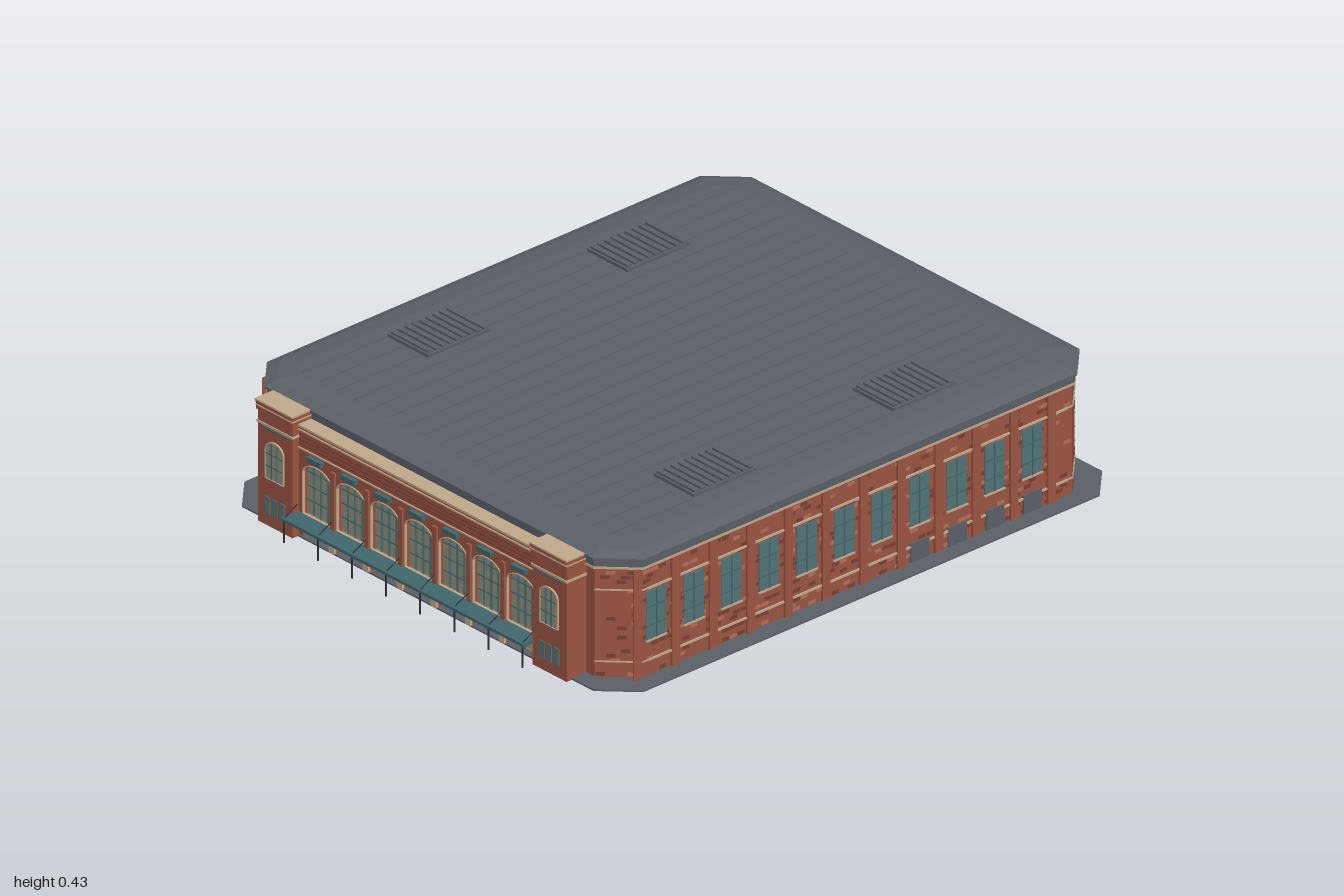
import * as THREE from 'three';
import { mergeGeometries } from 'three/addons/utils/BufferGeometryUtils.js';

const mat = (name, color, side = THREE.FrontSide) => {
  const m = new THREE.MeshStandardMaterial({ color, side });
  m.name = name;
  return m;
};

export function createModel() {
  const M = {
    brick: mat('red brick', 0x9c5443),
    darkBrick: mat('dark brick', 0x7a4035),
    lightBrick: mat('light brick', 0xb5705c),
    stone: mat('beige stone', 0xc0a98b),
    roof: mat('slate roof', 0x5b6068),
    teal: mat('teal metal', 0x3f676c),
    sideGlass: mat('side glass', 0x527478),
    frontGlass: mat('front glass', 0x8c907c),
    dark: mat('dark metal', 0x2c3136),
  };
  const root = new THREE.Group();
  root.name = 'brickHall';

  const add = (name, geo, m, parent = root) => {
    const mesh = new THREE.Mesh(geo, m);
    mesh.name = name;
    parent.add(mesh);
    return mesh;
  };
  // Box given by its limits on each axis
  const span = (x0, x1, y0, y1, z0, z1) =>
    new THREE.BoxGeometry(x1 - x0, y1 - y0, z1 - z0).translate((x0 + x1) / 2, (y0 + y1) / 2, (z0 + z1) / 2);
  const box = (name, m, l, parent = root) => add(name, span(...l), m, parent);

  // Stacked chamfered-rectangle rings [outset, y], closed at top and bottom
  const W = 0.78, ZF = 0.885, ZB = -0.945, CH = 0.095;
  const octagon = (o, w = W, f = ZF, b = ZB, c = CH) => {
    const x = w + o, zf = f + o, zb = b - o, k = c + o * 0.58;
    return [[x - k, zf], [x, zf - k], [x, zb + k], [x - k, zb], [-x + k, zb], [-x, zb + k], [-x, zf - k], [-x + k, zf]];
  };
  const loft = (rings, ...dims) => {
    const p = [];
    const loops = rings.map(([o, y]) => octagon(o, ...dims).map(([x, z]) => [x, y, z]));
    for (let r = 0; r + 1 < loops.length; r++) {
      for (let i = 0; i < 8; i++) {
        const j = (i + 1) % 8, [a, b, c, d] = [loops[r][i], loops[r][j], loops[r + 1][j], loops[r + 1][i]];
        p.push(...a, ...b, ...c, ...a, ...c, ...d);
      }
    }
    const bot = loops[0], top = loops[loops.length - 1];
    for (let i = 1; i < 7; i++) {
      p.push(...top[0], ...top[i], ...top[i + 1], ...bot[0], ...bot[i + 1], ...bot[i]);
    }
    const g = new THREE.BufferGeometry();
    g.setAttribute('position', new THREE.Float32BufferAttribute(p, 3));
    g.computeVertexNormals();
    return g;
  };

  // Pavement, walls and roof
  add('pavement', loft([[0, 0], [0, 0.005]], 0.84, 0.94, -1, 0.1), M.roof);
  add('walls', loft([[0, 0.005], [0, 0.37]]), M.brick);
  add('cornice', loft([[0.009, 0.355], [0.009, 0.362]]), M.stone);
  add('roof', loft([[0.007, 0.362], [0.007, 0.386], [0.014, 0.386], [0.014, 0.392], [-0.02, 0.405], [-0.08, 0.414]]), M.roof);
  const seams = [];
  for (let i = -9; i <= 9; i++) seams.push(span(i * 0.072 - 0.002, i * 0.072 + 0.002, 0.413, 0.416, -0.85, 0.79));
  add('roofSeams', mergeGeometries(seams), M.roof);

  // Louvred roof vents
  for (const x of [-0.56, 0.56]) for (const z of [-0.41, 0.35]) {
    const slats = [];
    for (let i = 0; i < 9; i++) {
      const s = z - 0.105 + i * 0.02625;
      slats.push(span(x - 0.08, x + 0.08, 0.424, 0.431, s - 0.008, s + 0.008));
    }
    box('roofVent', M.roof, [x - 0.085, x + 0.085, 0.41, 0.424, z - 0.12, z + 0.12]);
    add('ventLouvres', mergeGeometries(slats), M.roof);
  }

  // Scattered bricks and mortar courses on each wall face
  let seed = 7;
  const rand = () => (seed = (seed * 16807) % 2147483647) / 2147483647;
  const brickFace = (a, b, stripes) => {
    const len = Math.hypot(b[0] - a[0], b[1] - a[1]);
    const face = new THREE.Group();
    face.name = 'brickFace';
    face.position.set((a[0] + b[0]) / 2, 0, (a[1] + b[1]) / 2);
    face.rotation.y = Math.atan2(a[1] - b[1], b[0] - a[0]);
    root.add(face);
    const sets = [[], []];
    for (let row = 0; row < 23; row++) {
      const y = 0.0145 + row * 0.0148;
      for (let x = -len / 2 + 0.016 + (row % 2) * 0.012; x < len / 2 - 0.014; x += 0.03) {
        const r = rand();
        if (r < 0.26) sets[r < 0.17 ? 0 : 1].push(new THREE.PlaneGeometry(0.027, 0.012).translate(x, y, 0.0015));
      }
    }
    add('darkBricks', mergeGeometries(sets[0]), M.darkBrick, face);
    if (sets[1].length) add('lightBricks', mergeGeometries(sets[1]), M.lightBrick, face);
    for (const y of stripes) box('stoneCourse', M.stone, [-len / 2, len / 2, y - 0.002, y + 0.002, 0, 0.003], face);
  };
  const o = octagon(0);
  const backCourses = [0.055, 0.1, 0.145, 0.19, 0.235, 0.285, 0.325];
  for (let i = 0; i < 7; i++) brickFace(o[i], o[i + 1], i === 3 ? backCourses : [0.055, 0.285]);

  // Side walls: windows, pilasters, bands and service doors
  for (const s of [-1, 1]) {
    const side = new THREE.Group();
    side.name = s > 0 ? 'leftSide' : 'rightSide';
    root.add(side);
    const plate = (name, m, z, w, y0, y1, d) =>
      box(name, m, [Math.min(s * W, s * (W + d)), Math.max(s * W, s * (W + d)), y0, y1, z - w / 2, z + w / 2], side);
    for (let i = 0; i < 11; i++) {
      const z = 0.738 - i * 0.1433;
      plate('sideWindow', M.sideGlass, z, 0.076, 0.12, 0.275, 0.003);
      plate('windowMullion', M.teal, z, 0.004, 0.12, 0.275, 0.005);
      for (const y of [0.165, 0.225]) plate('windowBar', M.teal, z, 0.076, y - 0.0015, y + 0.0015, 0.005);
      plate('windowSill', M.stone, z, 0.08, 0.114, 0.119, 0.006);
      if (i > 6) plate('serviceDoor', M.roof, z, 0.07, 0.005, 0.066, 0.006);
    }
    for (let i = 0; i < 12; i++) plate('pilaster', M.brick, 0.8097 - i * 0.1433 - 0.0, 0.03, 0.005, 0.356, i === 0 ? 0.003 : 0.008);
    for (const y of [0.055, 0.285]) plate('sideBand', M.stone, -0.03, 1.6, y - 0.003, y + 0.003, 0.005);
  }

  // Low-arched outline used for openings, glass and trim
  const arch = (x, w, y0, spring, rise, Shape = THREE.Shape) => {
    const s = new Shape();
    s.moveTo(x - w / 2, y0);
    s.lineTo(x + w / 2, y0);
    s.lineTo(x + w / 2, spring);
    s.bezierCurveTo(x + w * 0.44, spring + rise * 1.3, x - w * 0.44, spring + rise * 1.3, x - w / 2, spring);
    s.closePath();
    return s;
  };
  const extrude = (s, depth, z) =>
    new THREE.ExtrudeGeometry(s, { depth, bevelEnabled: false, curveSegments: 10 }).translate(0, 0, z);
  const archTrim = (name, m, x, w, y0, spring, rise, z, t, d, parent) => {
    const s = arch(x, w + 2 * t, y0, spring, rise + t);
    s.holes.push(arch(x, w, y0 + 0.001, spring, rise, THREE.Path));
    add(name, extrude(s, d, z), m, parent);
  };

  // Front facade pierced by seven bays
  const front = new THREE.Group();
  front.name = 'frontFacade';
  root.add(front);
  const facade = new THREE.Shape([[-0.505, 0], [0.505, 0], [0.505, 0.355], [-0.505, 0.355]].map(p => new THREE.Vector2(...p)));
  const bays = [-3, -2, -1, 0, 1, 2, 3].map(i => i * 0.1433);
  for (const x of bays) facade.holes.push(arch(x, 0.117, 0.004, 0.215, 0.032, THREE.Path));
  add('facadeWall', extrude(facade, 0.05, 0.885), M.brick, front);
  box('parapetCap', M.stone, [-0.505, 0.505, 0.355, 0.362, 0.885, 0.942], front);
  box('parapetBand', M.stone, [-0.505, 0.505, 0.341, 0.345, 0.93, 0.939], front);
  box('lowerBand', M.stone, [-0.505, 0.505, 0.284, 0.288, 0.93, 0.939], front);
  for (const y of [0.298, 0.311, 0.324]) box('brickCourse', M.darkBrick, [-0.505, 0.505, y, y + 0.003, 0.93, 0.9365], front);
  for (const x of bays) {
    add('bayGlass', extrude(arch(x, 0.117, 0.075, 0.215, 0.032), 0.004, 0.912), M.frontGlass, front);
    archTrim('archTrim', M.stone, x, 0.113, 0.08, 0.215, 0.03, 0.93, 0.003, 0.008, front);
    for (const dx of [-0.03, 0, 0.03]) box('bayMullion', M.teal, [x + dx - 0.0015, x + dx + 0.0015, 0.075, 0.238, 0.914, 0.92], front);
    for (const y of [0.12, 0.165, 0.21]) box('bayBar', M.teal, [x - 0.0585, x + 0.0585, y - 0.0015, y + 0.0015, 0.914, 0.92], front);
    box('lampShade', M.teal, [x - 0.03, x + 0.03, 0.262, 0.277, 0.93, 0.95], front);
    // Entrance doors under the canopy
    box('entrance', M.stone, [x - 0.0585, x + 0.0585, 0.005, 0.075, 0.905, 0.916], front);
    for (const dx of [-0.042, -0.014, 0.014, 0.042]) box('doorPanel', M.frontGlass, [x + dx - 0.011, x + dx + 0.011, 0.012, 0.064, 0.914, 0.918], front);
    box('doorPost', M.teal, [x - 0.0015, x + 0.0015, 0.005, 0.075, 0.914, 0.921], front);
  }
  for (let i = 0; i < 8; i++) {
    const x = -0.5016 + i * 0.1433;
    if (i > 0 && i < 7) {
      box('facadePier', M.brick, [x - 0.009, x + 0.009, 0.005, 0.262, 0.93, 0.943], front);
      box('pierBase', M.stone, [x - 0.011, x + 0.011, 0.005, 0.03, 0.93, 0.945], front);
    }
    box('canopyPole', M.dark, [x - 0.002, x + 0.002, 0, 0.076, 0.993, 0.997], front);
    const rod = new THREE.LineCurve3(new THREE.Vector3(x, 0.105, 0.944), new THREE.Vector3(x, 0.08, 0.993));
    add('canopyRod', new THREE.TubeGeometry(rod, 1, 0.002, 5), M.dark, front);
  }
  box('canopy', M.teal, [-0.51, 0.51, 0.07, 0.079, 0.936, 1], front);

  // Corner towers
  for (const s of [-1, 1]) {
    const tower = new THREE.Group();
    tower.name = s > 0 ? 'leftTower' : 'rightTower';
    tower.position.x = s * 0.5775;
    root.add(tower);
    const block = (name, m, hw, y0, y1, zf) => box(name, m, [-hw, hw, y0, y1, 0.88, zf], tower);
    block('towerShaft', M.brick, 0.0725, 0, 0.372, 0.96);
    block('towerBand', M.stone, 0.0755, 0.318, 0.325, 0.963);
    block('towerNeck', M.brick, 0.0765, 0.36, 0.38, 0.964);
    block('towerCornice', M.stone, 0.078, 0.372, 0.376, 0.9655);
    block('towerCap', M.brick, 0.078, 0.38, 0.388, 0.9655);
    block('towerCoping', M.stone, 0.079, 0.388, 0.393, 0.967);
    add('towerWindow', extrude(arch(0, 0.07, 0.155, 0.25, 0.024), 0.004, 0.959), M.frontGlass, tower);
    archTrim('towerWindowTrim', M.stone, 0, 0.07, 0.153, 0.25, 0.024, 0.958, 0.004, 0.007, tower);
    for (const dx of [-0.012, 0.012]) box('towerMullion', M.teal, [dx - 0.0015, dx + 0.0015, 0.155, 0.27, 0.96, 0.965], tower);
    for (const y of [0.195, 0.235]) box('towerBar', M.teal, [-0.035, 0.035, y - 0.0015, y + 0.0015, 0.96, 0.965], tower);
    for (const dx of [-0.031, 0, 0.031]) box('slitWindow', M.sideGlass, [dx - 0.01, dx + 0.01, 0.037, 0.093, 0.958, 0.963], tower);
    box('towerPlaque', M.teal, [-0.055, 0.055, 0.308, 0.313, 0.958, 0.963], tower);
  }
  return root;
}
